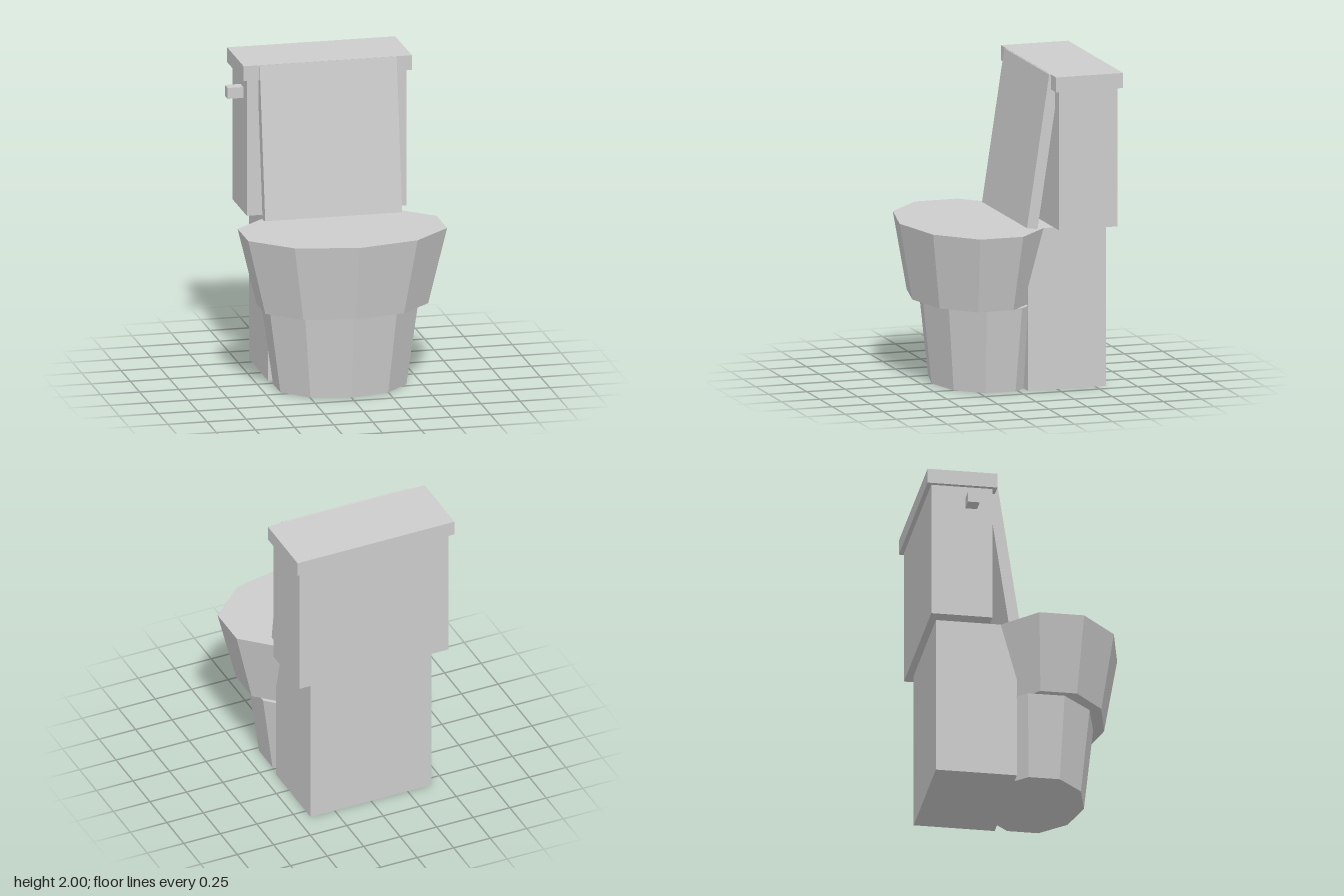
import * as THREE from 'three';

export function createModel() {
  const model = new THREE.Group();
  const porcelain = new THREE.MeshStandardMaterial({ color: 0xcccccc, flatShading: true });
  porcelain.name = 'porcelain grey';

  const add = (name, geometry, x, y, z) => {
    const mesh = new THREE.Mesh(geometry, porcelain);
    mesh.name = name;
    mesh.position.set(x, y, z);
    model.add(mesh);
    return mesh;
  };

  // Box given by its lower and upper limits
  const box = (name, [x0, x1], [y0, y1], [z0, z1]) =>
    add(name, new THREE.BoxGeometry(x1 - x0, y1 - y0, z1 - z0),
      (x0 + x1) / 2, (y0 + y1) / 2, (z0 + z1) / 2);

  // Tapered ten-sided oval, one corner facing the front
  const oval = (name, topX, bottomX, depthRatio, y0, y1, z) => {
    const geometry = new THREE.CylinderGeometry(topX, bottomX, y1 - y0, 10);
    geometry.scale(1, 1, depthRatio);
    return add(name, geometry, 0, (y0 + y1) / 2, z);
  };

  // Pedestal, bowl and the block behind them
  oval('pedestal', 0.5, 0.423, 0.75, 0, 0.54, 0.115);
  oval('bowl', 0.668, 0.547, 0.682, 0.54, 1.025, 0.186);
  box('rearBase', [-0.415, 0.415], [0, 1.025], [-0.57, -0.06]);

  // Water tank with its cover and flush handle
  box('tank', [-0.51, 0.51], [1.025, 1.905], [-0.615, -0.23]);
  box('tankCover', [-0.537, 0.537], [1.905, 2], [-0.643, -0.203]);
  box('flushHandle', [-0.61, -0.5], [1.76, 1.83], [-0.4, -0.327]);

  // Raised seat lid leaning on the tank
  const lid = add('seatLid', new THREE.BoxGeometry(0.875, 0.975, 0.07), 0, 1.513, -0.153);
  lid.rotation.x = -0.15;

  return model;
}
